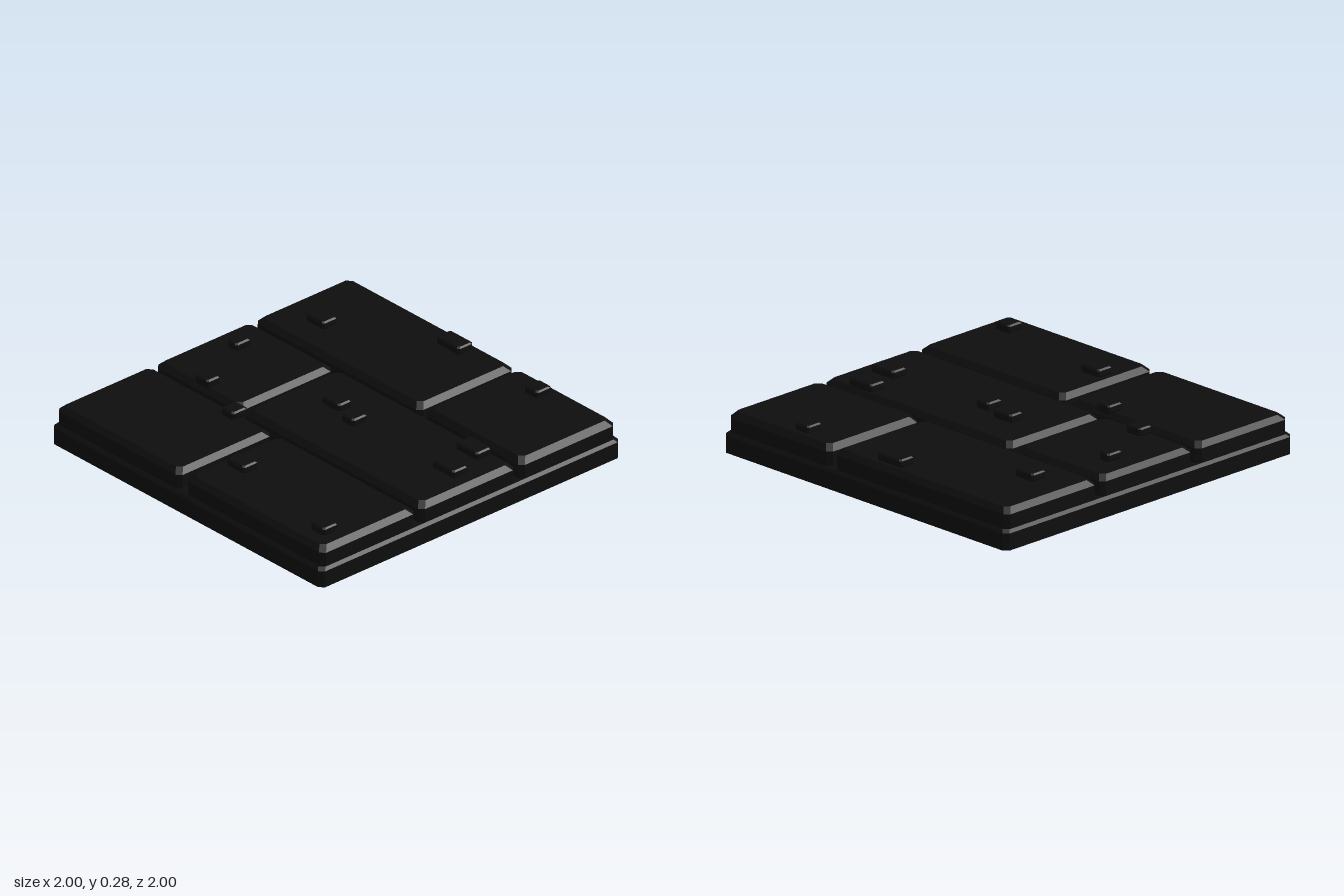
import * as THREE from 'three';

const stone = new THREE.MeshStandardMaterial({ color: 0x0e0e0e, flatShading: true });
stone.name = 'blackStone';

// Chamfered-corner rectangle, counter-clockwise seen from above
function ring(x0, x1, z0, z1, inset, cut, y) {
  const a = x0 + inset, b = x1 - inset, c = z0 + inset, d = z1 - inset;
  return [
    [b, y, d - cut], [b, y, c + cut], [b - cut, y, c], [a + cut, y, c],
    [a, y, c + cut], [a, y, d - cut], [a + cut, y, d], [b - cut, y, d],
  ];
}

// Closed solid through stacked levels [y, inset]
function block(name, [x0, x1, z0, z1], cut, levels) {
  const rings = levels.map(([y, inset]) => ring(x0, x1, z0, z1, inset, cut, y));
  const pos = [];
  const tri = (...pts) => pts.forEach((p) => pos.push(...p));
  for (let k = 0; k < rings.length - 1; k++) {
    const lo = rings[k], hi = rings[k + 1];
    for (let i = 0; i < 8; i++) {
      const j = (i + 1) % 8;
      tri(lo[i], lo[j], hi[j]);
      tri(lo[i], hi[j], hi[i]);
    }
  }
  const bottom = rings[0], top = rings[rings.length - 1];
  for (let i = 1; i < 7; i++) {
    tri(top[0], top[i], top[i + 1]);
    tri(bottom[0], bottom[i + 1], bottom[i]);
  }
  const geo = new THREE.BufferGeometry();
  geo.setAttribute('position', new THREE.Float32BufferAttribute(pos, 3));
  geo.computeVertexNormals();
  const mesh = new THREE.Mesh(geo, stone);
  mesh.name = name;
  return mesh;
}

export function createModel() {
  const model = new THREE.Group();
  model.name = 'stoneFloorTile';

  // Base plate, tapered underneath
  model.add(block('base', [-1, 1, -1, 1], 0.025,
    [[0, 0.09], [0.03, 0], [0.12, 0], [0.135, 0.015]]));

  // Paving slabs in three staggered rows: x0, x1, z0, z1, top
  const slabs = [
    [-0.985, 0.235, -0.98, -0.345, 0.24], [0.265, 0.985, -0.98, -0.345, 0.243],
    [-0.985, -0.36, -0.315, 0.32, 0.238], [-0.33, 0.985, -0.315, 0.32, 0.24],
    [-0.985, -0.075, 0.35, 0.98, 0.238], [-0.03, 0.985, 0.35, 0.98, 0.24],
  ];
  slabs.forEach(([x0, x1, z0, z1, top], i) => {
    model.add(block(`slab${i + 1}`, [x0, x1, z0, z1], 0.025,
      [[0.125, 0], [0.212, 0], [top, 0.028]]));
  });

  // Loose chips lying on the slabs: x, z, width, depth
  const chips = [
    [-0.105, -0.885, 0.17, 0.1], [0.52, -0.875, 0.1, 0.1], [-0.725, -0.56, 0.13, 0.1],
    [-0.82, -0.095, 0.07, 0.1], [-0.655, 0.265, 0.1, 0.09], [-0.325, 0.385, 0.09, 0.1],
    [-0.055, -0.055, 0.13, 0.09], [0.125, -0.01, 0.09, 0.1], [0.75, -0.24, 0.16, 0.1],
    [0.81, -0.03, 0.16, 0.1], [0.095, 0.71, 0.13, 0.1], [0.84, 0.835, 0.1, 0.1],
  ];
  chips.forEach(([x, z, w, d], i) => {
    model.add(block(`chip${i + 1}`, [x - w / 2, x + w / 2, z - d / 2, z + d / 2], 0.01,
      [[0.236, 0.006], [0.246, 0], [0.272, 0], [0.28, 0.008]]));
  });

  // Thin crack across the left slab
  const path = [[-0.7, -0.02], [-0.73, 0.08], [-0.81, 0.13], [-0.87, 0.27]];
  for (let i = 0; i < path.length - 1; i++) {
    const [ax, az] = path[i], [bx, bz] = path[i + 1];
    const dx = bx - ax, dz = bz - az;
    const crack = new THREE.Mesh(new THREE.BoxGeometry(Math.hypot(dx, dz), 0.003, 0.006), stone);
    crack.position.set((ax + bx) / 2, 0.238, (az + bz) / 2);
    crack.rotation.y = -Math.atan2(dz, dx);
    crack.name = `crack${i + 1}`;
    model.add(crack);
  }
  return model;
}
